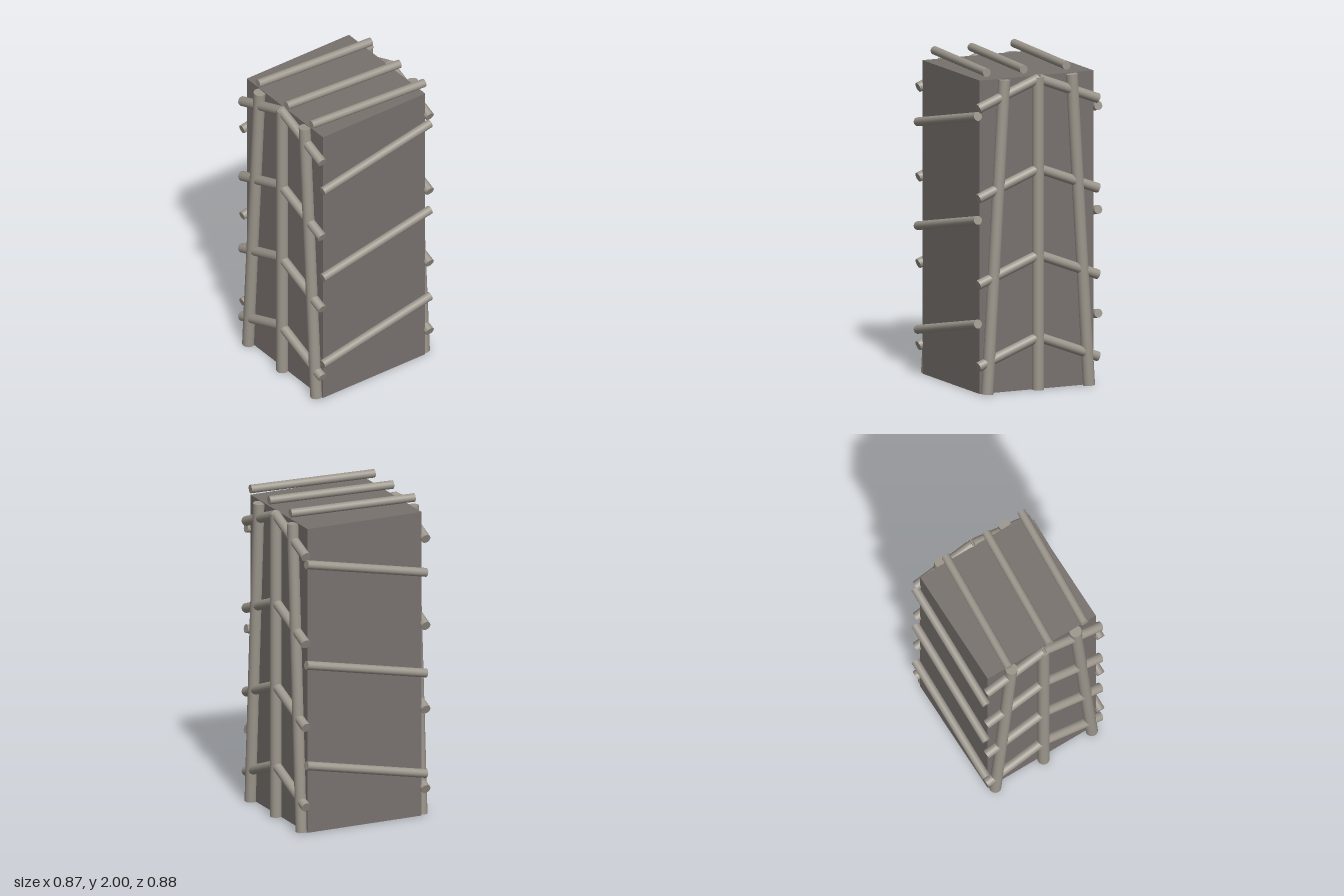
import * as THREE from 'three';

const wood = new THREE.MeshStandardMaterial({ color: 0x9c968c });
const panel = new THREE.MeshStandardMaterial({ color: 0x78716e });
const FACE = 0.405; // distance of the poles from the centre axis

// Round stick between two points
function stick(name, a, b, radius) {
  const from = new THREE.Vector3(...a);
  const to = new THREE.Vector3(...b);
  const dir = to.clone().sub(from);
  const mesh = new THREE.Mesh(new THREE.CylinderGeometry(radius, radius, dir.length(), 20), wood);
  mesh.name = name;
  mesh.position.copy(from).add(to).multiplyScalar(0.5);
  mesh.quaternion.setFromUnitVectors(new THREE.Vector3(0, 1, 0), dir.normalize());
  return mesh;
}

// Upright poles with chevron ribs, for the front or back
function lattice(name, z) {
  const group = new THREE.Group();
  group.name = name;
  group.add(stick('centrePole', [0, 0, z], [0, 1.92, z], 0.037));
  for (const s of [-1, 1]) {
    group.add(stick('leaningPole', [s * 0.344, 0, z], [s * 0.228, 1.92, z], 0.037));
    for (const y of [0.17, 0.674, 1.204, 1.756]) {
      group.add(stick('chevronRib', [s * 0.404, y, z], [0, y + 0.154, z], 0.03));
    }
  }
  return group;
}

export function createModel() {
  const model = new THREE.Group();
  model.name = 'poleFramedBlock';

  // Solid core
  const core = new THREE.Mesh(new THREE.BoxGeometry(0.77, 1.925, 0.77), panel);
  core.name = 'core';
  core.position.y = 1.925 / 2;
  model.add(core);

  model.add(lattice('frontLattice', FACE), lattice('backLattice', -FACE));

  // Side rails, rising toward the back
  for (const s of [-1, 1]) {
    for (const y of [0.27, 0.907, 1.545]) {
      model.add(stick('sideRail', [s * 0.407, y, FACE], [s * 0.407, y + 0.165, -FACE], 0.027));
    }
  }

  // Skewed battens above the top
  for (const x of [-0.219, 0.07, 0.32]) {
    model.add(stick('topBatten', [x - 0.027, 1.974, FACE], [x + 0.027, 1.974, -FACE], 0.026));
  }
  return model;
}
